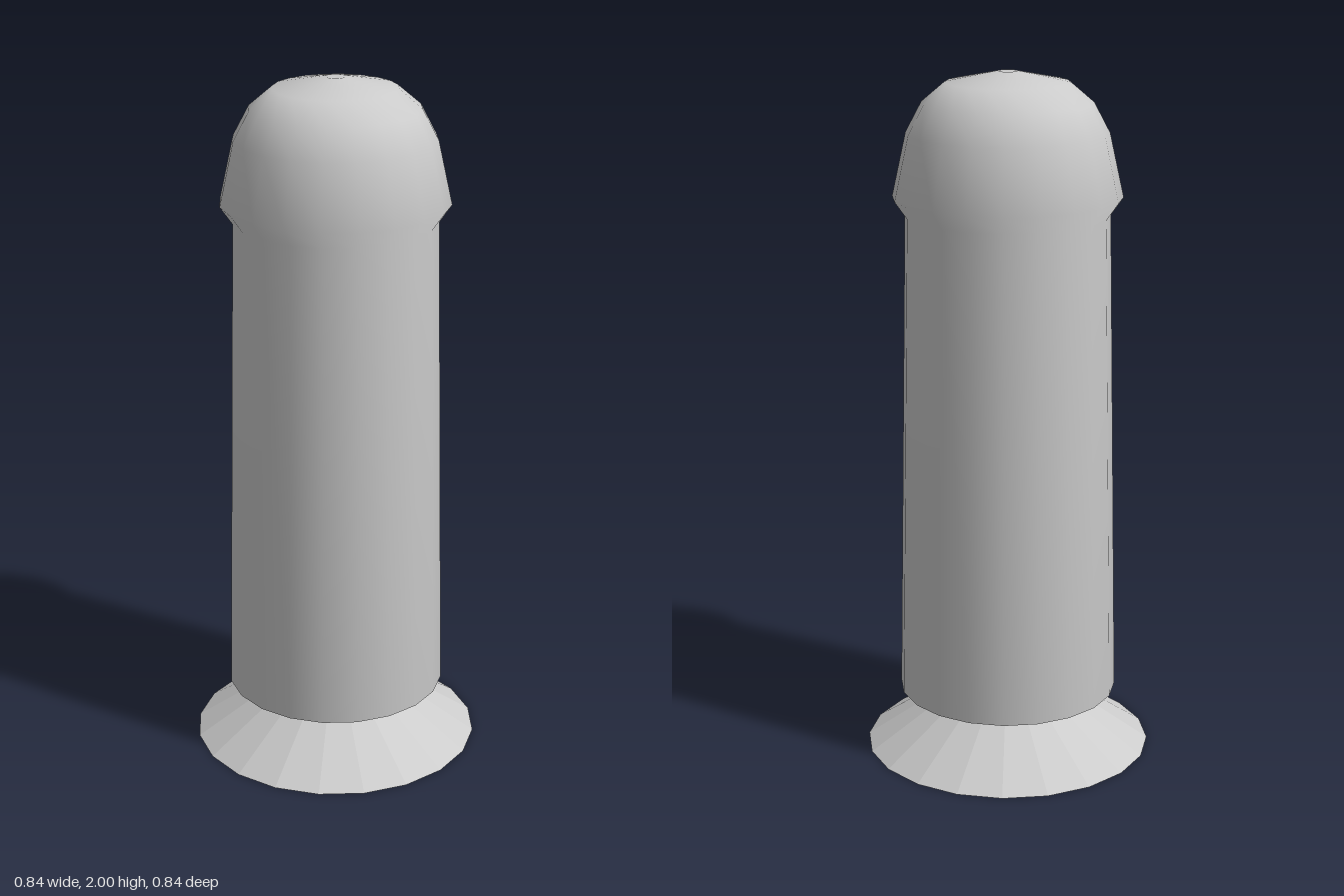
import * as THREE from 'three';

const SIDES = 20;

// Revolves a bottom-to-top list of [radius, height] points around y.
function turned(name, profile, flatShading = false) {
  const points = profile.map(([r, y]) => new THREE.Vector2(r, y));
  const material = new THREE.MeshStandardMaterial({ color: 0xcccccc, flatShading });
  const mesh = new THREE.Mesh(new THREE.LatheGeometry(points, SIDES), material);
  mesh.name = name;
  return mesh;
}

export function createModel() {
  const group = new THREE.Group();
  group.name = 'roundedColumn';

  // Flared suction base, hollow underneath
  group.add(turned('base', [
    [0, 0.12], [0.2, 0.12], [0.42, 0], [0.2, 0.148],
  ], true));

  // Tapered shaft running smoothly into the domed cap
  group.add(turned('shaftAndCap', [
    // undercut above the base, then the long taper
    [0.2, 0.148], [0.32, 0.178], [0.29, 1.6],
    // overhanging rim and dome with a slight dimple at the centre
    [0.325, 1.65], [0.285, 1.83], [0.24, 1.915], [0.175, 1.97],
    [0.028, 2], [0, 1.995],
  ]));

  return group;
}
